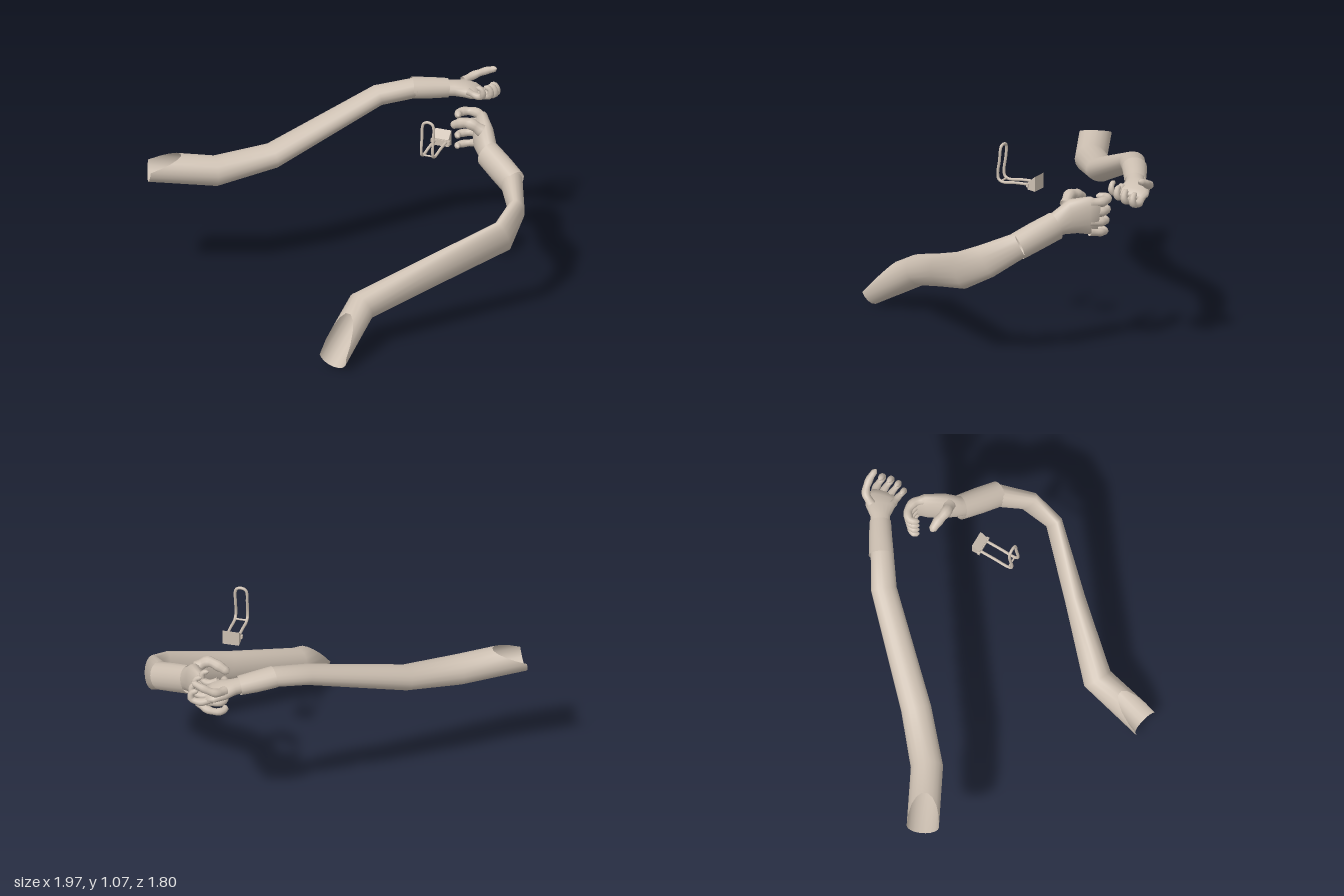
import * as THREE from 'three';

const skin = new THREE.MeshStandardMaterial({ color: 0xcdc0b2, side: THREE.DoubleSide });
skin.name = 'warm beige';

// Elliptical tube through rows of [x, y, z, vertical radius, side radius]; slant cuts the top of the first ring back
function limb(name, rows, { sides = 18, slant = 0, capped = false } = {}) {
  const pts = rows.map(r => new THREE.Vector3(r[0], r[1], r[2]));
  const pos = [], index = [], Y = new THREE.Vector3(0, 1, 0);
  const last = rows.length - 1;
  let prevUp = Y.clone();
  rows.forEach((r, i) => {
    const T = new THREE.Vector3();
    if (i > 0) T.add(pts[i].clone().sub(pts[i - 1]).normalize());
    if (i < last) T.add(pts[i + 1].clone().sub(pts[i]).normalize());
    T.normalize();
    const up = prevUp.clone().addScaledVector(T, -prevUp.dot(T)).normalize();
    const side = up.clone().cross(T);
    prevUp = capped ? up : Y;
    for (let j = 0; j < sides; j++) {
      const t = j / sides * Math.PI * 2, s = Math.sin(t);
      const p = pts[i].clone().addScaledVector(side, Math.cos(t) * r[4]).addScaledVector(up, s * r[3]);
      if (i === 0) p.addScaledVector(T, slant * (Math.max(0, s) * 2 - 1));
      pos.push(p.x, p.y, p.z);
      if (i < last) {
        const a = i * sides + j, b = i * sides + (j + 1) % sides;
        index.push(a, b, a + sides, b, b + sides, a + sides);
      }
    }
  });
  if (capped) {
    const e = pts[last], n = pos.length / 3;
    pos.push(e.x, e.y, e.z);
    for (let j = 0; j < sides; j++) index.push(last * sides + j, last * sides + (j + 1) % sides, n);
  }
  const g = new THREE.BufferGeometry();
  g.setAttribute('position', new THREE.Float32BufferAttribute(pos, 3));
  g.setIndex(index);
  g.computeVertexNormals();
  const m = new THREE.Mesh(g, skin);
  m.name = name;
  return m;
}

// Tapered finger with a rounded tip along a smooth path
function finger(name, path, r) {
  const curve = new THREE.CatmullRomCurve3(path.map(p => new THREE.Vector3(...p)));
  const n = 14, rows = [];
  for (let i = 0; i <= n; i++) {
    const t = i / n, p = curve.getPointAt(t);
    const knuckle = 1 + 0.08 * Math.cos(t * Math.PI * 6);
    const tip = t > 0.86 ? Math.sqrt(Math.max(0.06, 1 - ((t - 0.86) / 0.14) ** 2)) : 1;
    const k = r * (1 - 0.25 * t) * knuckle * tip;
    rows.push([p.x, p.y, p.z, k, k]);
  }
  return limb(name, rows, { sides: 10, capped: true });
}

function group(name, ...parts) {
  const g = new THREE.Group();
  g.name = name;
  g.add(...parts);
  return g;
}

function rightArm() {
  const arm = group('rightArm',
    limb('sleeve', [
      [-0.87, 0.68, 0.24, 0.08, 0.085],
      [-0.63, 0.65, 0.12, 0.08, 0.085],
      [-0.39, 0.69, -0.085, 0.065, 0.08],
      [0.03, 0.92, -0.525, 0.052, 0.068],
      [0.2, 0.945, -0.635, 0.052, 0.06],
    ], { slant: 0.08 }),
    limb('cuff', [
      [0.18, 0.945, -0.628, 0.056, 0.066],
      [0.27, 0.935, -0.685, 0.055, 0.061],
      [0.345, 0.928, -0.73, 0.05, 0.056],
    ]),
    limb('palm', [
      [0.31, 0.93, -0.71, 0.042, 0.048],
      [0.37, 0.925, -0.745, 0.04, 0.052],
      [0.42, 0.918, -0.775, 0.04, 0.078],
      [0.465, 0.905, -0.79, 0.034, 0.084],
      [0.5, 0.895, -0.795, 0.022, 0.07],
    ], { capped: true }),
    finger('thumb', [[0.4, 0.94, -0.815], [0.435, 0.955, -0.87], [0.5, 0.985, -0.887], [0.56, 1.01, -0.88]], 0.024));
  // Four fingers curling up from the palm
  for (let i = 0; i < 4; i++) {
    const z = -0.85 + i * 0.04, y = 0.875 + i * 0.012, reach = [0.572, 0.58, 0.575, 0.55][i];
    arm.add(finger('finger', [[0.46, y + 0.02, z + 0.01], [0.52, y, z - 0.005 + i * 0.005],
      [reach, y + 0.012, z + i * 0.007], [reach - 0.005, y + 0.05, z + i * 0.008],
      [reach - 0.035, y + 0.06, z + i * 0.008]], 0.022 - i * 0.001));
  }
  return arm;
}

function leftArm() {
  const arm = group('leftArm',
    limb('sleeve', [
      [0.35, 0.13, 0.78, 0.085, 0.078],
      [0.375, 0.24, 0.57, 0.083, 0.08],
      [0.66, 0.365, 0.27, 0.088, 0.055],
      [0.938, 0.485, -0.02, 0.1, 0.042],
      [0.95, 0.565, -0.18, 0.092, 0.045],
      [0.86, 0.655, -0.335, 0.07, 0.06],
    ], { slant: 0.12 }),
    limb('cuff', [
      [0.875, 0.648, -0.325, 0.076, 0.067],
      [0.78, 0.69, -0.385, 0.078, 0.068],
      [0.685, 0.73, -0.445, 0.078, 0.064],
    ]),
    limb('palm', [
      [0.72, 0.715, -0.42, 0.06, 0.05],
      [0.675, 0.745, -0.46, 0.07, 0.052],
      [0.63, 0.78, -0.52, 0.098, 0.054],
      [0.585, 0.785, -0.595, 0.108, 0.042],
      [0.555, 0.78, -0.635, 0.085, 0.022],
    ], { capped: true }),
    finger('thumb', [[0.635, 0.84, -0.48], [0.58, 0.875, -0.468], [0.52, 0.865, -0.48], [0.46, 0.835, -0.488]], 0.032));
  // Four fingers stacked vertically and curled into a grip
  for (let i = 0; i < 4; i++) {
    const y = 0.855 - i * 0.052, fan = -i * 0.008;
    arm.add(finger('finger', [[0.595, y, -0.6], [0.545, y + fan * 0.5, -0.645 + i * 0.004],
      [0.485, y + fan, -0.645 + i * 0.006], [0.453, y + fan, -0.61 + i * 0.006],
      [0.47, y + fan, -0.565]], 0.027 - i * 0.0015));
  }
  return arm;
}

function bracket() {
  const cx = 0.513, w = 0.032;
  // Bent wire loop, mirrored about its centre line
  const half = [[w, 0.88, -0.21], [w, 0.876, -0.12], [w, 0.868, -0.04], [w, 0.88, -0.016], [w, 0.915, -0.01],
    [w, 0.98, -0.02], [w, 1.035, -0.025], [w * 0.75, 1.058, -0.026]];
  const path = [...half, [0, 1.067, -0.027], ...half.map(([x, y, z]) => [-x, y, z]).reverse()];
  const curve = new THREE.CatmullRomCurve3(path.map(([x, y, z]) => new THREE.Vector3(cx + x, y, z)));
  const wire = new THREE.Mesh(new THREE.TubeGeometry(curve, 90, 0.008, 8), skin);
  wire.name = 'wireLoop';
  // Wedge block
  const s = new THREE.Shape([[0.2, 0.855], [0.245, 0.85], [0.245, 0.932], [0.2, 0.895]].map(p => new THREE.Vector2(...p)));
  const geo = new THREE.ExtrudeGeometry(s, { depth: 0.09, bevelEnabled: false });
  geo.rotateY(Math.PI / 2).translate(cx - 0.045, 0, 0);
  const block = new THREE.Mesh(geo, skin);
  block.name = 'wedgeBlock';
  const bar = new THREE.Mesh(new THREE.BoxGeometry(0.106, 0.02, 0.014), skin);
  bar.name = 'crossBar';
  bar.position.set(cx, 0.88, -0.203);
  const brace = new THREE.Mesh(new THREE.CylinderGeometry(0.005, 0.005, 2 * w, 8).rotateZ(Math.PI / 2), skin);
  brace.name = 'brace';
  brace.position.set(cx, 0.872, -0.03);
  return group('bracket', wire, block, bar, brace);
}

export function createModel() {
  return group('armsWithBracket', rightArm(), leftArm(), bracket());
}
